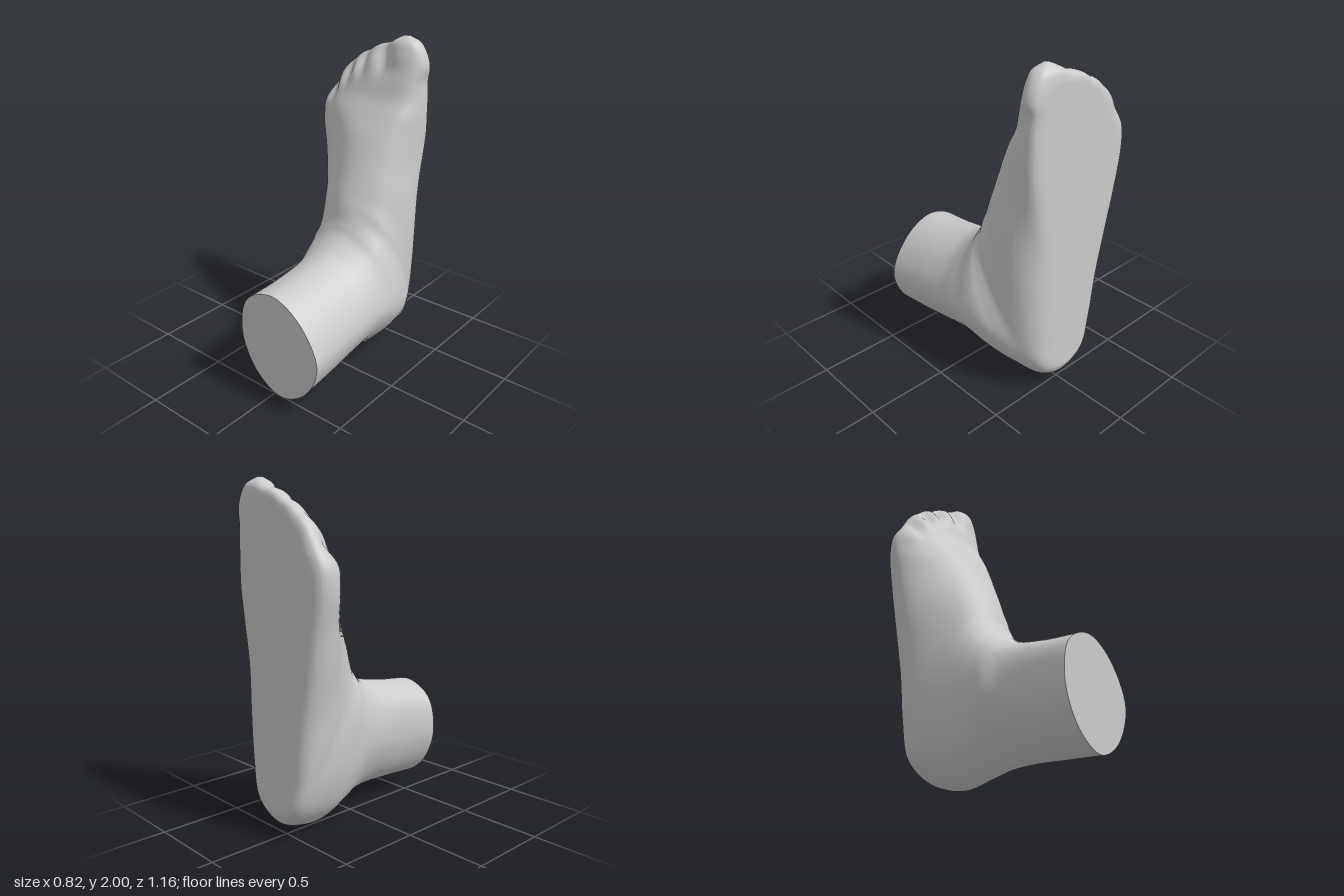
import * as THREE from 'three';

const SOLE_Z = -0.58;

// Cross-sections: [dorsal y, z, plantar y, z, corner height,
//   plantar left/right x, side left/right x, dorsal left/right x]
const ankleSections = [
  [0.73, 0.58, 0.08, 0.58, 0.15, -0.065, 0.305, -0.17, 0.40, -0.12, 0.27],
  [0.755, 0.35, 0.09, 0.35, 0.15, -0.05, 0.29, -0.145, 0.395, -0.11, 0.28],
  [0.805, 0.12, 0.095, 0.15, 0.15, -0.05, 0.27, -0.155, 0.40, -0.11, 0.28],
  [0.855, 0.04, 0.08, 0.00, 0.15, -0.075, 0.25, -0.185, 0.41, -0.13, 0.29],
  [0.90, -0.005, 0.04, -0.13, 0.14, -0.10, 0.225, -0.19, 0.41, -0.14, 0.30],
  [0.94, -0.025, 0.00, -0.28, 0.13, -0.12, 0.205, -0.20, 0.405, -0.15, 0.31],
  [0.97, -0.038, 0.02, -0.42, 0.11, -0.13, 0.195, -0.215, 0.385, -0.15, 0.31],
  [1.00, -0.047, 0.07, -0.53, 0.07, -0.14, 0.185, -0.225, 0.345, -0.15, 0.30],
];
const footSections = [
  [1.03, -0.055, 0.15, -0.58, 0.05, -0.16, 0.185, -0.235, 0.32, -0.15, 0.29],
  [1.07, -0.068, 0.35, -0.58, 0.04, -0.20, 0.21, -0.26, 0.32, -0.145, 0.28],
  [1.12, -0.087, 0.65, -0.58, 0.04, -0.24, 0.225, -0.29, 0.325, -0.14, 0.26],
  [1.20, -0.12, 0.95, -0.58, 0.04, -0.30, 0.23, -0.335, 0.325, -0.13, 0.25],
  [1.32, -0.17, 1.20, -0.58, 0.04, -0.35, 0.265, -0.37, 0.315, -0.13, 0.24],
  [1.45, -0.23, 1.42, -0.58, 0.05, -0.385, 0.295, -0.405, 0.315, -0.16, 0.24],
  [1.55, -0.29, 1.55, -0.58, 0.06, -0.375, 0.295, -0.395, 0.315, -0.21, 0.25],
  [1.65, -0.35, 1.65, -0.58, 0.08, -0.32, 0.295, -0.335, 0.31, -0.20, 0.25],
  [1.75, -0.385, 1.75, -0.58, 0.09, -0.26, 0.29, -0.275, 0.305, -0.15, 0.26],
  [1.83, -0.415, 1.83, -0.58, 0.10, -0.18, 0.295, -0.195, 0.318, -0.08, 0.27],
  [1.91, -0.435, 1.91, -0.58, 0.13, -0.05, 0.27, -0.06, 0.295, 0.02, 0.26],
  [1.965, -0.45, 1.965, -0.565, 0.15, 0.09, 0.24, 0.075, 0.255, 0.10, 0.235],
  [2.00, -0.49, 2.00, -0.52, 0.15, 0.16, 0.185, 0.155, 0.19, 0.16, 0.185],
];

// Eight control points of one cross-section, starting under the middle
function controlPoints([dy, dz, py, pz, a, sL, sR, mL, mR, dL, dR]) {
  const at = (x, t) => new THREE.Vector3(x, py + (dy - py) * t, pz + (dz - pz) * t);
  const m = 0.26 + 1.6 * a;
  return [
    at((sL + sR) / 2, 0), at(sR, a), at(mR, m), at(dR, 0.86),
    at((dL + dR) / 2, 1), at(dL, 0.86), at(mL, m), at(sL, a),
  ];
}

// Toe pads (raised) and the soft gaps between them: [x, y, width, height, depth]
const toeRelief = [
  [-0.355, 1.54, 0.045, 0.06, 0.012], [-0.25, 1.69, 0.04, 0.06, 0.014],
  [-0.145, 1.79, 0.04, 0.06, 0.014], [-0.02, 1.84, 0.05, 0.06, 0.014],
  [0.18, 1.89, 0.07, 0.08, 0.014],
  [-0.30, 1.65, 0.035, 0.08, -0.018], [-0.195, 1.77, 0.035, 0.08, -0.02],
  [-0.09, 1.84, 0.035, 0.08, -0.02], [0.06, 1.89, 0.045, 0.09, -0.026],
];

function shapeToes(p) {
  const top = THREE.MathUtils.smoothstep(p.z, -0.56, -0.44);
  let lift = 0;
  for (const [x, y, w, h, depth] of toeRelief) {
    lift += depth * Math.exp(-(((p.x - x) / w) ** 2) - ((p.y - y) / h) ** 2);
  }
  p.z += lift * top;
  if (lift < 0) p.y += lift * 0.5;
}

function loftGeometry(sections, rows, cols) {
  const stations = sections.map(controlPoints);
  const rails = stations[0].map((_, k) =>
    new THREE.CatmullRomCurve3(stations.map((s) => s[k]), false, 'centripetal'));
  const positions = [];
  const index = [];
  for (let i = 0; i <= rows; i++) {
    const ring = new THREE.CatmullRomCurve3(
      rails.map((r) => r.getPoint(i / rows)), true, 'centripetal');
    for (let j = 0; j < cols; j++) {
      const p = ring.getPoint(j / cols);
      shapeToes(p);
      positions.push(p.x, Math.max(0, p.y), THREE.MathUtils.clamp(p.z, SOLE_Z, 0.58));
      if (i === rows) continue;
      const a = i * cols + j;
      const b = i * cols + (j + 1) % cols;
      index.push(a, a + cols, b, b, a + cols, b + cols);
    }
  }
  // Close the tip of the big toe
  const last = rows * cols;
  positions.push(0.172, 2.0, -0.505);
  for (let j = 0; j < cols; j++) {
    index.push(last + cols, last + (j + 1) % cols, last + j);
  }
  const geometry = new THREE.BufferGeometry();
  geometry.setAttribute('position', new THREE.Float32BufferAttribute(positions, 3));
  geometry.setIndex(index);
  geometry.computeVertexNormals();
  return geometry;
}

export function createModel() {
  const group = new THREE.Group();
  group.name = 'foot';
  const material = new THREE.MeshStandardMaterial({ color: 0xcccccc });

  // Ankle, heel, sole and toes as one smooth skin
  const skin = new THREE.Mesh(
    loftGeometry([...ankleSections, ...footSections], 200, 96), material);
  skin.name = 'footAndAnkle';
  group.add(skin);

  // Flat cut across the leg
  const rim = new THREE.CatmullRomCurve3(controlPoints(ankleSections[0]), true, 'centripetal');
  const outline = Array.from({ length: 96 }, (_, j) => rim.getPoint(j / 96))
    .map((p) => new THREE.Vector2(p.x, p.y));
  const cut = new THREE.Mesh(new THREE.ShapeGeometry(new THREE.Shape(outline)), material);
  cut.name = 'legCut';
  cut.position.z = 0.58;
  group.add(cut);

  return group;
}
